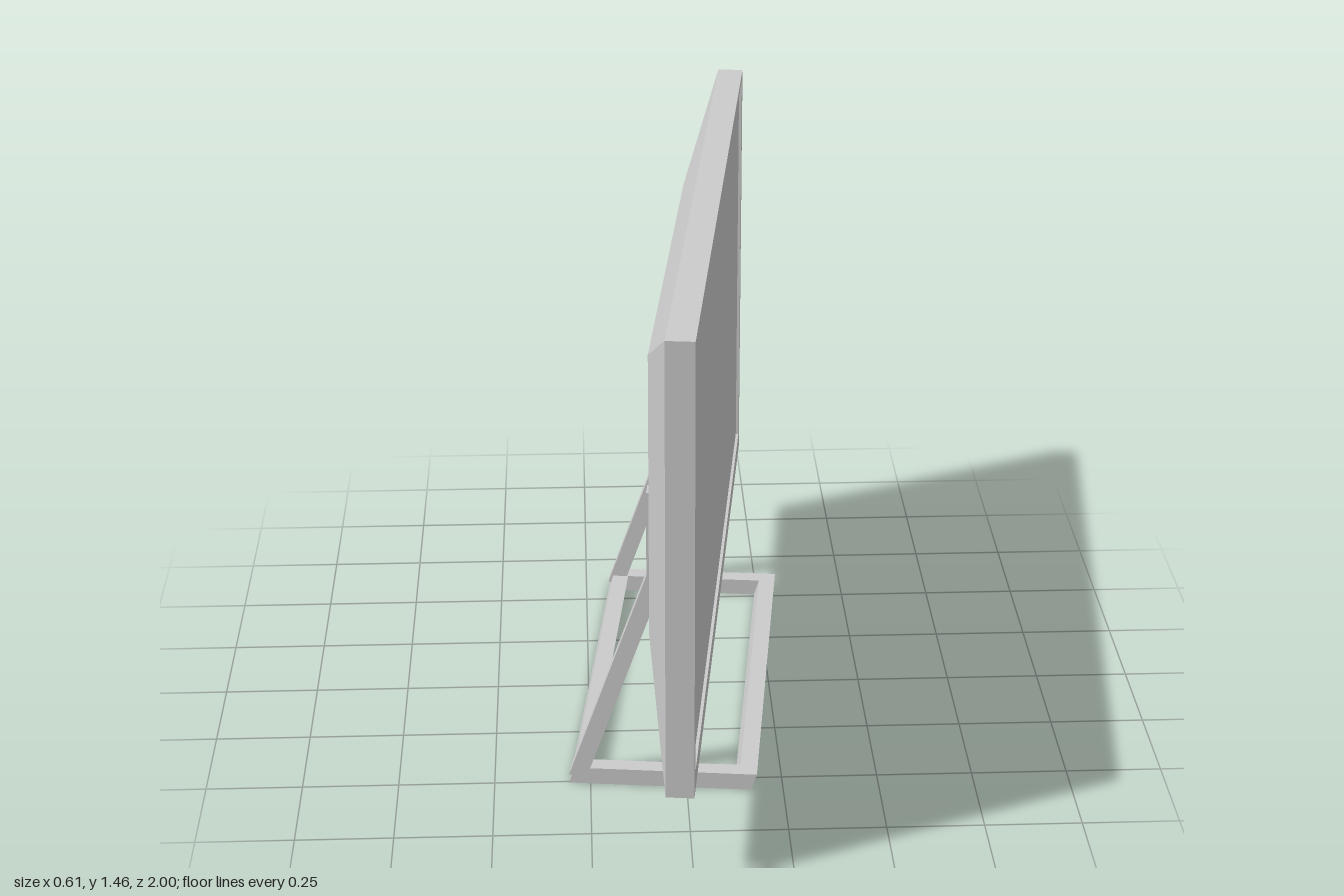
import * as THREE from 'three';

const grey = new THREE.MeshStandardMaterial({ color: 0xcccccc, flatShading: true });

function add(parent, name, geometry) {
  const mesh = new THREE.Mesh(geometry, grey);
  mesh.name = name;
  parent.add(mesh);
  return mesh;
}

// Rectangular ring given as [left, bottom, right, top] for the outside and the hole
function ring(outer, inner) {
  const points = ([l, b, r, t]) => [[l, b], [r, b], [r, t], [l, t]].map(p => new THREE.Vector2(...p));
  const shape = new THREE.Shape(points(outer));
  shape.holes.push(new THREE.Path(points(inner).reverse()));
  return shape;
}

const extrude = (shape, depth) => new THREE.ExtrudeGeometry(shape, { depth, bevelEnabled: false });

export function createModel() {
  const model = new THREE.Group();
  model.name = 'television';

  // Built facing +z, then turned almost a quarter turn
  const tv = new THREE.Group();
  tv.name = 'turnedTelevision';
  tv.rotation.y = THREE.MathUtils.degToRad(83.55);
  tv.position.x = 0.0765;
  model.add(tv);

  const halfW = 1.0025, bottom = 0.257, top = 1.455, halfD = 0.035;
  const opening = [-halfW + 0.032, 0.312, halfW - 0.032, 1.437];

  // Bezel around a slightly recessed screen
  const bezel = extrude(ring([-halfW, bottom, halfW, top], opening), halfD * 2);
  add(tv, 'bezel', bezel.translate(0, 0, -halfD));

  const [l, b, r, t] = opening;
  const screen = new THREE.BoxGeometry(r - l, t - b, 0.06);
  add(tv, 'screen', screen.translate((l + r) / 2, (b + t) / 2, -0.003));

  // Back cover: a box whose rear face is shrunk
  const backZ = -0.107;
  const cover = new THREE.BoxGeometry(1, 1, 1);
  const pos = cover.attributes.position;
  for (let i = 0; i < pos.count; i++) {
    const rear = pos.getZ(i) < 0;
    const up = pos.getY(i) > 0;
    const x = Math.sign(pos.getX(i)) * (rear ? 0.6 : halfW);
    const y = rear ? (up ? 1.246 : 0.48) : (up ? top : bottom);
    pos.setXYZ(i, x, y, rear ? backZ : -halfD);
  }
  cover.computeVertexNormals();
  add(tv, 'backCover', cover);

  // Base frame lying on the ground, with front and back faces leaning forward
  const left = -0.545, right = 0.572, bar = 0.045, baseH = 0.046;
  const base = extrude(
    ring([left, -0.153, right, 0.323], [left + bar, -0.153 + bar, right - bar, 0.323 - bar]), baseH);
  base.rotateX(-Math.PI / 2);
  base.applyMatrix4(new THREE.Matrix4().makeShear(0, 0, 0, 0.3, 0, 0));
  base.computeVertexNormals();
  add(tv, 'baseFrame', base);

  // Bent legs: sloping up from the back of the base, then flat against the cover
  const profile = new THREE.Shape([
    [-0.323, 0.025], [-0.275, 0.025], [-0.07, 0.62], [-0.07, 0.85], [-0.118, 0.85], [-0.118, 0.618],
  ].map(p => new THREE.Vector2(...p)));
  for (const [name, x] of [['rightLeg', left + bar], ['leftLeg', right]]) {
    const leg = add(tv, name, extrude(profile, bar).rotateY(-Math.PI / 2));
    leg.position.x = x;
  }

  return model;
}
